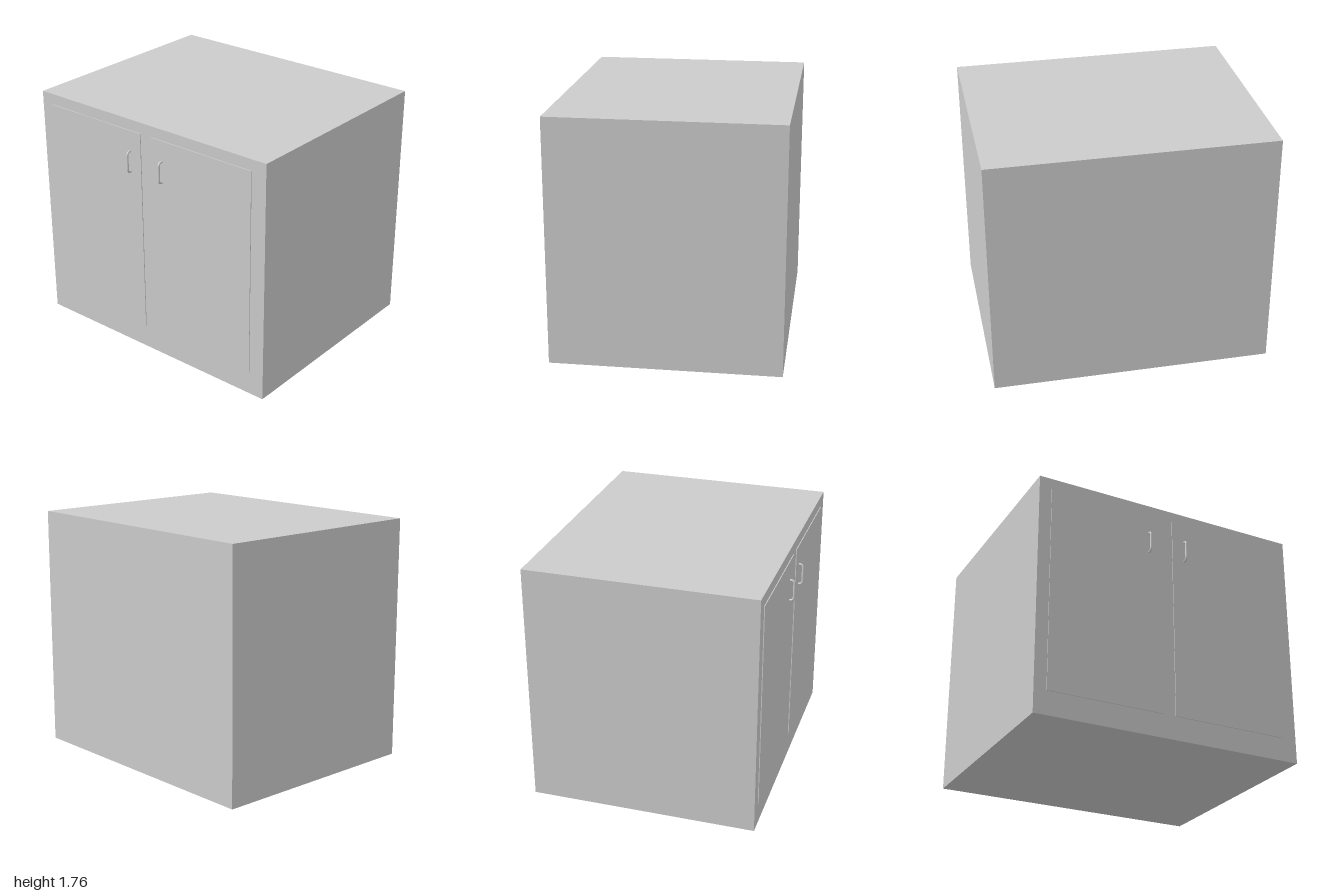
import * as THREE from 'three';

const material = new THREE.MeshStandardMaterial({ color: 0xcccccc });
const FACE_X = -0.79; // cabinet face that carries the doors

function addBox(parent, name, [x0, x1], [y0, y1], [z0, z1]) {
  const mesh = new THREE.Mesh(new THREE.BoxGeometry(x1 - x0, y1 - y0, z1 - z0), material);
  mesh.position.set((x0 + x1) / 2, (y0 + y1) / 2, (z0 + z1) / 2);
  mesh.name = name;
  parent.add(mesh);
}

// U-shaped pull with rounded corners, lying in the x-y plane
function handleGeometry(bottom, top, reach, bend, radius) {
  const v = (x, y) => new THREE.Vector3(x, y, 0);
  const out = FACE_X - reach;
  const path = new THREE.CurvePath();
  path.add(new THREE.LineCurve3(v(FACE_X, top), v(out + bend, top)));
  path.add(new THREE.QuadraticBezierCurve3(v(out + bend, top), v(out, top), v(out, top - bend)));
  path.add(new THREE.LineCurve3(v(out, top - bend), v(out, bottom + bend)));
  path.add(new THREE.QuadraticBezierCurve3(v(out, bottom + bend), v(out, bottom), v(out + bend, bottom)));
  path.add(new THREE.LineCurve3(v(out + bend, bottom), v(FACE_X, bottom)));
  return new THREE.TubeGeometry(path, 48, radius, 12);
}

export function createModel() {
  const cabinet = new THREE.Group();
  cabinet.name = 'cabinet';

  // Closed carcass
  addBox(cabinet, 'carcass', [FACE_X, 0.835], [0, 1.76], [-1, 1]);

  // Pair of thin doors, each with a handle near the meeting edge
  const pull = handleGeometry(1.378, 1.53, 0.037, 0.028, 0.008);
  const doors = [
    { name: 'backDoor', z: [-0.91, -0.06], handleZ: -0.155 },
    { name: 'frontDoor', z: [0.035, 0.885], handleZ: 0.13 },
  ];
  for (const { name, z, handleZ } of doors) {
    addBox(cabinet, name, [FACE_X - 0.006, FACE_X], [0.17, 1.68], z);
    const handle = new THREE.Mesh(pull, material);
    handle.position.z = handleZ;
    handle.name = name + 'Handle';
    cabinet.add(handle);
  }
  return cabinet;
}
